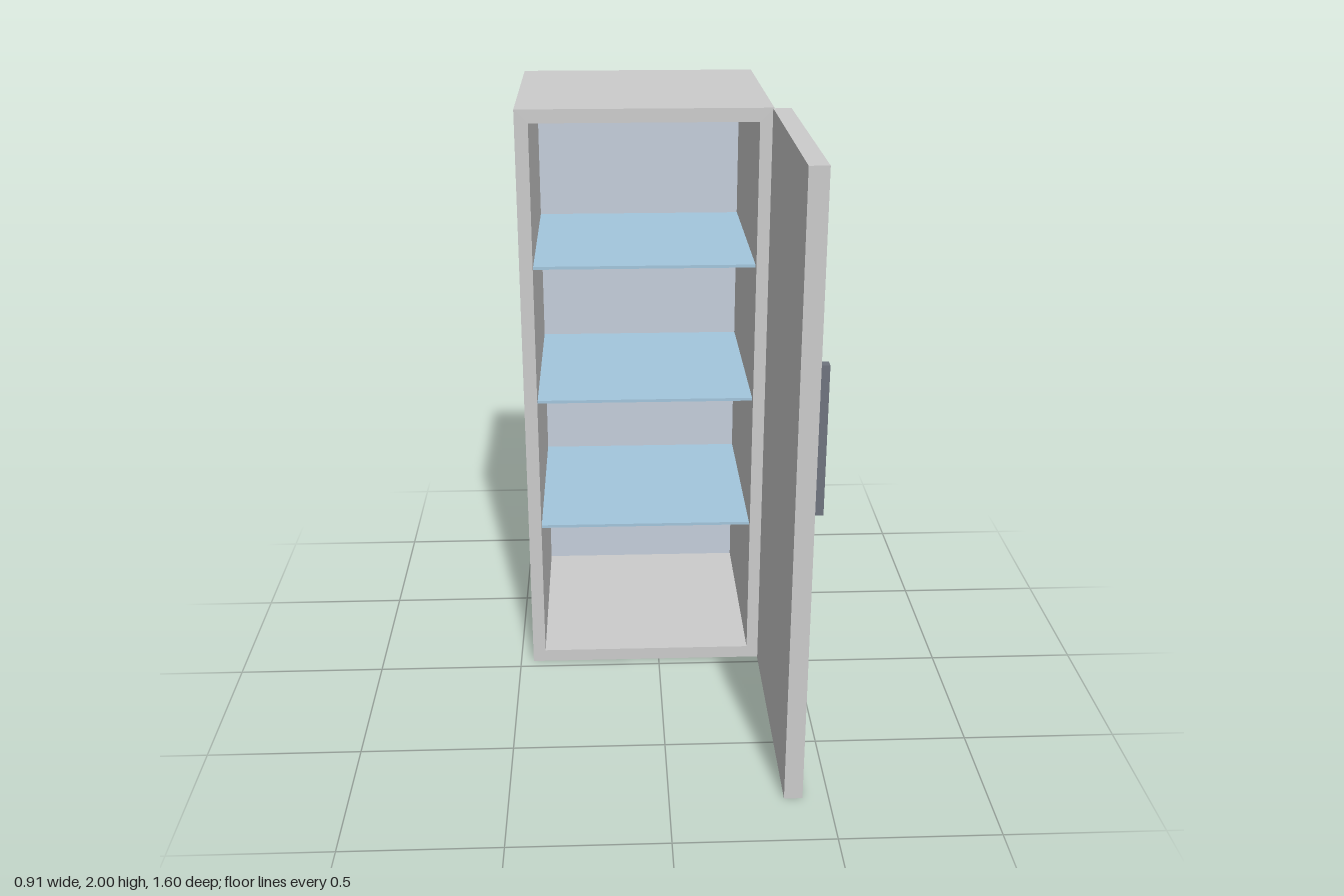
import * as THREE from 'three';

const grey = new THREE.MeshStandardMaterial({ color: 0xcccccc });
const tint = (color) => new THREE.MeshStandardMaterial({ color });

// Box given by its minimum and maximum corners
function block(name, min, max, material = grey) {
  const size = max.map((v, i) => v - min[i]);
  const mesh = new THREE.Mesh(new THREE.BoxGeometry(...size), material);
  mesh.position.set(...max.map((v, i) => (v + min[i]) / 2));
  mesh.name = name;
  return mesh;
}

export function createModel() {
  const model = new THREE.Group();
  model.name = 'cabinet';

  const left = -0.455, right = 0.365, back = -0.8, front = -0.035;
  const height = 2, wall = 0.044;

  // Carcass: a rectangular tube, open front and back
  const outline = new THREE.Shape([
    new THREE.Vector2(left, 0), new THREE.Vector2(right, 0),
    new THREE.Vector2(right, height), new THREE.Vector2(left, height),
  ]);
  outline.holes.push(new THREE.Path([
    new THREE.Vector2(left + wall, wall), new THREE.Vector2(left + wall, height - wall),
    new THREE.Vector2(right - wall, height - wall), new THREE.Vector2(right - wall, wall),
  ]));
  const carcass = new THREE.Mesh(
    new THREE.ExtrudeGeometry(outline, { depth: front - back, bevelEnabled: false }), grey);
  carcass.position.z = back;
  carcass.name = 'carcass';
  model.add(carcass);

  // Back panel, slightly recessed
  model.add(block('backPanel', [left + wall, wall, back + 0.013],
    [right - wall, height - wall, back + 0.035], tint(0xc4cedb)));

  // Three shelves
  const glass = tint(0xa3c6dd);
  for (const y of [0.53, 1.002, 1.475]) {
    model.add(block('shelf', [left + wall, y - 0.005, -0.76],
      [right - wall, y + 0.005, -0.065], glass));
  }

  // Lamp under the ceiling
  model.add(block('lamp', [-0.105, 1.917, -0.475], [0.015, 1.951, -0.355], tint(0xf2e3a0)));

  // Door standing open at a right angle, with its handle
  const door = new THREE.Group();
  door.name = 'door';
  door.add(block('doorPanel', [0.36, 0, -0.025], [0.418, height, 0.8]));
  door.add(block('handle', [0.418, 0.945, 0.688], [0.455, 1.414, 0.722], tint(0x6f747e)));
  model.add(door);

  return model;
}
